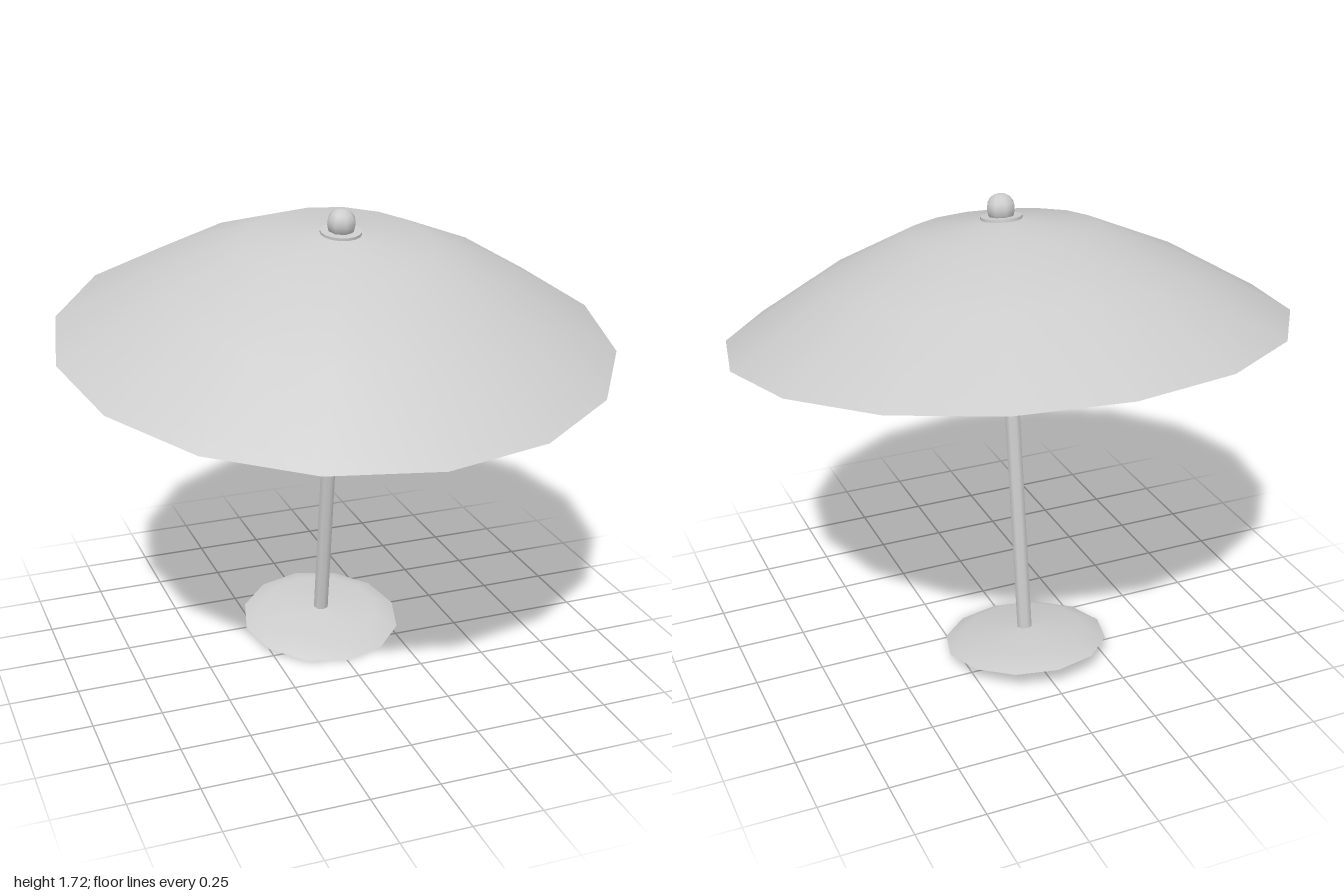
import * as THREE from 'three';

export function createModel() {
  const grey = new THREE.MeshStandardMaterial({ color: 0xcccccc });
  grey.name = 'plain grey';

  // everything leans forward together about the foot of the pole
  const parasol = new THREE.Group();
  parasol.name = 'parasol';
  parasol.position.set(0, 0.043, -0.17);
  parasol.rotation.x = 0.14;

  const add = (parent, name, geometry, y = 0) => {
    const mesh = new THREE.Mesh(geometry, grey);
    mesh.name = name;
    mesh.position.y = y;
    parent.add(mesh);
    return mesh;
  };
  const lathe = (points, sides) =>
    new THREE.LatheGeometry(points.map(([r, y]) => new THREE.Vector2(r, y)), sides);
  const underside = (radius, sides) => new THREE.CircleGeometry(radius, sides).rotateX(Math.PI / 2);

  // base: low twelve-sided dome closed by a flat underside
  const base = new THREE.Group();
  base.name = 'base';
  add(base, 'baseTop', lathe([[0.303, 0], [0.22, 0.036], [0, 0.05]], 12));
  add(base, 'baseUnderside', underside(0.303, 12));

  // pole
  add(parasol, 'pole', new THREE.CylinderGeometry(0.029, 0.029, 1.22, 8), 0.62);

  // canopy: shallow sixteen-sided dome with a rim turned under
  const canopy = new THREE.Group();
  canopy.name = 'canopy';
  canopy.position.y = 1.225;
  add(canopy, 'canopyTop',
    lathe([[1, 0], [0.955, 0.027], [0.646, 0.213], [0.333, 0.351], [0, 0.392]], 16));
  add(canopy, 'canopyRim', lathe([[0.88, -0.015], [0.93, -0.02], [1, 0]], 16));
  add(canopy, 'canopyUnderside', underside(0.88, 16), -0.015);

  // finial: small collar and ball on the crown
  add(canopy, 'finialCollar', new THREE.CylinderGeometry(0.073, 0.073, 0.012, 16), 0.387);
  add(canopy, 'finialBall', new THREE.SphereGeometry(0.052, 8, 8), 0.42);

  parasol.add(base, canopy);
  const model = new THREE.Group();
  model.name = 'model';
  model.add(parasol);
  return model;
}
